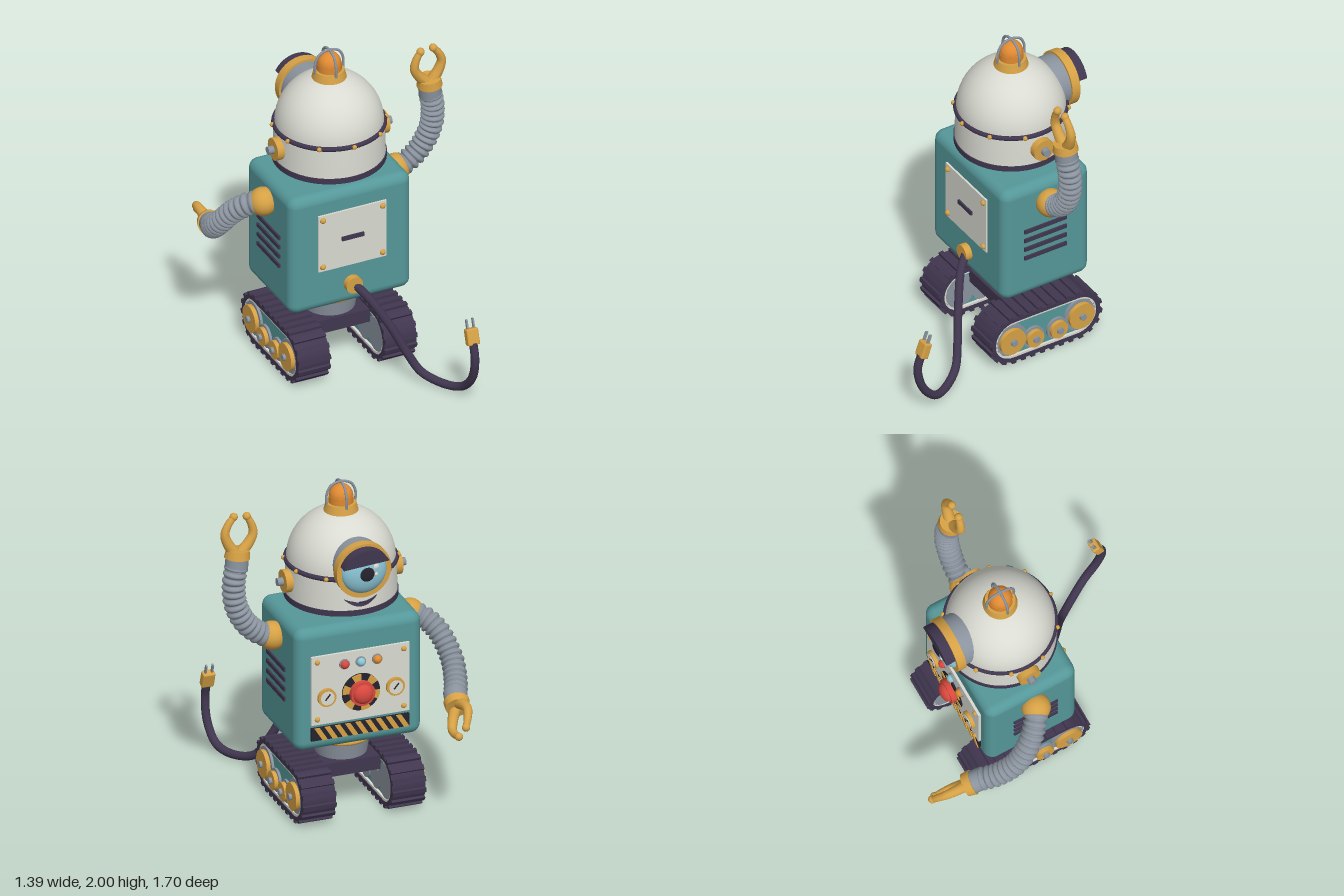
import * as THREE from 'three';
import { RoundedBoxGeometry } from 'three/addons/geometries/RoundedBoxGeometry.js';

const V = (x, y, z) => new THREE.Vector3(x, y, z);
const PI = Math.PI;

export function createModel() {
  const root = new THREE.Group();
  root.name = 'robot';
  const mat = (name, color) => {
    const m = new THREE.MeshStandardMaterial({ color });
    m.name = name;
    return m;
  };
  const teal = mat('teal paint', 0x559799), white = mat('off white', 0xd9dad1), gold = mat('brass', 0xd6a145);
  const purple = mat('dark purple', 0x40364f), grey = mat('steel grey', 0x8a939e), red = mat('red', 0xd9483e);
  const orange = mat('orange', 0xe08a32), blue = mat('light blue', 0x8cc6d6), black = mat('near black', 0x25222c);

  // The symmetric core sits off the origin because the arms and cable reach out unevenly.
  const core = new THREE.Group();
  core.name = 'core';
  core.position.set(-0.033, 0, -0.11);
  root.add(core);

  const add = (name, geo, material, x = 0, y = 0, z = 0, parent = core) => {
    const m = new THREE.Mesh(geo, material);
    m.name = name;
    m.position.set(x, y, z);
    parent.add(m);
    return m;
  };
  const box = (w, h, d) => new THREE.BoxGeometry(w, h, d);
  const ball = (r, n = 16) => new THREE.SphereGeometry(r, n * 2, n);
  const cyl = (r1, r2, h, axis = 'y', n = 40) => {
    const g = new THREE.CylinderGeometry(r1, r2, h, n);
    if (axis === 'x') g.rotateZ(-PI / 2);
    if (axis === 'z') g.rotateX(PI / 2);
    return g;
  };
  const hoop = (r, t) => new THREE.TorusGeometry(r, t, 10, 56).rotateX(PI / 2);
  const extrude = (shape, depth) => new THREE.ExtrudeGeometry(shape, { depth, bevelEnabled: false, curveSegments: 24 });
  // Tube whose radius follows a rule along its length
  const sweep = (curve, seg, radial, radius) => {
    const g = new THREE.TubeGeometry(curve, seg, 1, radial);
    const p = g.attributes.position, v = V(0, 0, 0);
    for (let i = 0; i < p.count; i++) {
      const t = Math.floor(i / (radial + 1)) / seg, c = curve.getPointAt(t);
      v.fromBufferAttribute(p, i).sub(c).multiplyScalar(radius(t)).add(c);
      p.setXYZ(i, v.x, v.y, v.z);
    }
    g.computeVertexNormals();
    return g;
  };

  // Body with side vents
  add('body', new RoundedBoxGeometry(0.777, 0.768, 0.588, 5, 0.06), teal, 0, 0.841, 0);
  for (const s of [-1, 1])
    for (let i = 0; i < 4; i++) add('vent', box(0.02, 0.025, 0.285), purple, s * 0.389, 0.92 - i * 0.062, 0.015);

  // Hatch panel on the +z side
  add('hatchPanel', box(0.433, 0.371, 0.016), white, 0, 0.909, 0.298);
  add('hatchSlot', box(0.14, 0.026, 0.016), purple, 0, 0.912, 0.308);
  for (const sx of [-1, 1])
    for (const sy of [-1, 1]) add('hatchRivet', ball(0.018, 8), gold, sx * 0.19, 0.909 + sy * 0.155, 0.306);

  // Control panel on the -z side
  add('controlPanel', box(0.6, 0.43, 0.02), white, 0, 0.845, -0.3);
  for (const sx of [-1, 1]) {
    for (const sy of [-1, 1]) add('panelRivet', ball(0.016, 8), gold, sx * 0.265, 0.845 + sy * 0.18, -0.31);
    add('gaugeRim', cyl(0.055, 0.055, 0.026, 'z'), gold, sx * 0.21, 0.8, -0.318);
    add('gaugeFace', cyl(0.042, 0.042, 0.006, 'z'), white, sx * 0.21, 0.8, -0.332);
    add('gaugeNeedle', box(0.008, 0.045, 0.004), black, sx * 0.21, 0.807, -0.336).rotation.z = 0.7;
  }
  [red, blue, orange].forEach((m, i) => {
    add('lampBezel', cyl(0.031, 0.031, 0.014, 'z', 24), grey, 0.1 - i * 0.1, 0.99, -0.313);
    add('lamp', ball(0.026, 10), m, 0.1 - i * 0.1, 0.99, -0.32);
  });
  add('buttonRing', cyl(0.115, 0.115, 0.012, 'z'), black, 0, 0.8, -0.315);
  for (let i = 0; i < 6; i++) {
    const a = i * PI / 3, s = new THREE.Shape();
    s.absarc(0, 0, 0.115, a, a + PI / 6, false);
    s.absarc(0, 0, 0.06, a + PI / 6, a, true);
    add('buttonRingStripe', extrude(s, 0.006), gold, 0, 0.8, -0.325);
  }
  add('buttonBase', cyl(0.074, 0.074, 0.035, 'z'), red, 0, 0.8, -0.337);
  add('buttonDome', ball(0.06), red, 0, 0.8, -0.352).scale.z = 0.65;

  // Hazard strip
  add('hazardStrip', box(0.6, 0.08, 0.018), black, 0, 0.57, -0.299);
  for (let i = 0; i < 9; i++) {
    const x = -0.3 + i * 0.0625, s = new THREE.Shape();
    s.moveTo(x, 0); s.lineTo(x + 0.033, 0); s.lineTo(x + 0.083, 0.08); s.lineTo(x + 0.05, 0.08);
    add('hazardStripe', extrude(s, 0.006), gold, 0, 0.53, -0.313);
  }

  // Waist and axle
  add('waist', cyl(0.175, 0.15, 0.17), grey, 0, 0.385, 0);
  add('waistRing', hoop(0.172, 0.015), gold, 0, 0.413, 0);
  add('axle', box(0.36, 0.085, 0.34), purple, 0, 0.26, 0);

  // Tracks
  const H = 0.215, R = 0.15;
  const stadium = (r, Type = THREE.Shape) => {
    const s = new Type();
    s.absarc(H, 0, r, -PI / 2, PI / 2, false);
    s.absarc(-H, 0, r, PI / 2, PI * 1.5, false);
    s.closePath();
    return s;
  };
  const loop = (outer, inner, w) => {
    const s = stadium(outer);
    if (inner) s.holes.push(stadium(inner, THREE.Path));
    return extrude(s, w).translate(0, 0, -w / 2).rotateY(PI / 2);
  };
  for (const s of [-1, 1]) {
    const track = new THREE.Group();
    track.name = s > 0 ? 'leftTrack' : 'rightTrack';
    track.position.set(s * 0.275, 0.165, 0);
    core.add(track);
    add('belt', loop(R, 0.126, 0.205), purple, 0, 0, 0, track);
    add('beltLining', loop(0.126, 0.112, 0.195), white, 0, 0, 0, track);
    add('sidePlate', loop(0.113, 0, 0.165), teal, 0, 0, 0, track);
    const total = 4 * H + 2 * PI * R, n = 28;
    for (let i = 0; i < n; i++) {
      let d = i * total / n;
      const side = d < total / 2 ? 1 : -1;
      d %= total / 2;
      const a = d < 2 * H ? 0 : (d - 2 * H) / R;
      const u = (d < 2 * H ? d - H : H + Math.sin(a) * (R + 0.005)) * side;
      const v = Math.cos(a) * (R + 0.005) * side;
      add('lug', box(0.205, 0.022, 0.028), purple, 0, v, u, track).rotation.x = a;
    }
    for (const [z, y, r] of [[-0.233, 0.002, 0.105], [-0.08, -0.035, 0.07], [0.08, -0.035, 0.07], [0.233, 0.002, 0.105]]) {
      add('wheel', cyl(r, r, 0.195, 'x'), grey, 0, y, z, track);
      add('wheelCap', cyl(r * 0.8, r * 0.8, 0.03, 'x'), gold, s * 0.107, y, z, track);
      add('wheelHub', cyl(0.02, 0.02, 0.03, 'x', 20), grey, s * 0.124, y, z, track);
    }
  }

  // Neck and head
  for (let i = 0; i < 3; i++) add('neckRing', hoop(0.17, 0.018), purple, 0, 1.235 + i * 0.026, 0);
  add('neck', cyl(0.165, 0.165, 0.1), purple, 0, 1.255, 0);
  const dome = [new THREE.Vector2(0.325, 1.3), new THREE.Vector2(0.319, 1.5)];
  for (let i = 0; i <= 20; i++) {
    const a = i / 20 * PI / 2;
    dome.push(new THREE.Vector2(0.315 * Math.cos(a) + 1e-5, 1.517 + 0.315 * Math.sin(a)));
  }
  add('head', new THREE.LatheGeometry(dome, 64), white);
  add('headRim', cyl(0.33, 0.33, 0.034, 'y', 64), purple, 0, 1.307, 0);
  add('headBand', hoop(0.317, 0.015), purple, 0, 1.517, 0);
  for (let i = 0; i < 10; i++) {
    const a = i * PI / 5;
    add('bandRivet', ball(0.014, 8), gold, 0.33 * Math.sin(a), 1.519, 0.33 * Math.cos(a));
  }
  for (const s of [-1, 1]) {
    add('ear', cyl(0.068, 0.068, 0.08, 'x'), gold, s * 0.318, 1.42, 0);
    add('earKnob', cyl(0.024, 0.024, 0.05, 'x', 20), grey, s * 0.368, 1.42, 0);
  }

  // Beacon with wire cage
  add('beaconBase', cyl(0.088, 0.102, 0.055), gold, 0, 1.838, 0);
  add('beaconStem', cyl(0.072, 0.072, 0.045), orange, 0, 1.885, 0);
  add('beaconBulb', ball(0.07), orange, 0, 1.906, 0);
  const arch = new THREE.CatmullRomCurve3([V(-0.088, 1.85, 0), V(-0.088, 1.92, 0), V(-0.062, 1.972, 0),
    V(0, 1.992, 0), V(0.062, 1.972, 0), V(0.088, 1.92, 0), V(0.088, 1.85, 0)]);
  for (const a of [0, PI / 2]) add('cageWire', new THREE.TubeGeometry(arch, 32, 0.008, 8), grey).rotation.y = a;

  // Eye with heavy lid
  add('eyeHousing', cyl(0.153, 0.153, 0.2, 'z', 48), grey, 0, 1.585, -0.215);
  add('eyeRim', cyl(0.167, 0.167, 0.053, 'z', 48), gold, 0, 1.585, -0.339);
  add('eyeball', ball(0.138, 20), blue, 0, 1.585, -0.358).scale.z = 0.47;
  add('pupil', ball(0.045), black, 0, 1.585, -0.417).scale.z = 0.22;
  add('eyeGlint', ball(0.02, 10), white, -0.055, 1.622, -0.41).scale.z = 0.5;
  add('eyeGlintSmall', ball(0.012, 8), white, -0.055, 1.578, -0.417).scale.z = 0.5;
  const lid = new THREE.Shape();
  lid.absarc(0, 0, 0.152, 0.4, PI - 0.4, false);
  add('eyelid', extrude(lid, 0.062), purple, 0, 1.585, -0.425).rotation.z = -0.08;

  // Smile wrapped on the head
  const smile = new THREE.Shape();
  smile.moveTo(-0.1, 0);
  smile.quadraticCurveTo(0, -0.1, 0.1, 0);
  smile.quadraticCurveTo(0, -0.045, -0.1, 0);
  const smileGeo = extrude(smile, 0.009), sp = smileGeo.attributes.position;
  for (let i = 0; i < sp.count; i++) {
    const a = sp.getX(i) / 0.32, r = 0.32 + sp.getZ(i);
    sp.setXYZ(i, -Math.sin(a) * r, sp.getY(i), -Math.cos(a) * r);
  }
  smileGeo.computeVertexNormals();
  add('mouth', smileGeo, purple, 0, 1.395, 0);

  // Arms: ball shoulder, bellows, cuff and a two-finger claw
  const arm = (name, pts, dir, spread) => {
    const g = new THREE.Group();
    g.name = name;
    root.add(g);
    add('shoulder', ball(0.085), gold, pts[0].x, pts[0].y, pts[0].z, g);
    const curve = new THREE.CatmullRomCurve3(pts), ridges = Math.round(curve.getLength() / 0.038);
    add('bellows', sweep(curve, ridges * 8, 20, t => 0.054 + 0.016 * Math.abs(Math.sin(t * ridges * PI))), grey, 0, 0, 0, g);
    const hand = new THREE.Group();
    hand.name = 'hand';
    const y = dir.normalize(), x = spread.addScaledVector(y, -spread.dot(y)).normalize();
    hand.quaternion.setFromRotationMatrix(new THREE.Matrix4().makeBasis(x, y, x.clone().cross(y)));
    hand.position.copy(pts[pts.length - 1]);
    g.add(hand);
    add('cuff', cyl(0.067, 0.067, 0.09, 'y', 32), grey, 0, 0.015, 0, hand);
    add('wrist', cyl(0.068, 0.075, 0.05, 'y', 32), gold, 0, 0.07, 0, hand);
    for (const s of [-1, 1]) {
      const f = new THREE.CatmullRomCurve3([V(s * 0.025, 0.08, 0), V(s * 0.065, 0.135, 0), V(s * 0.086, 0.19, 0),
        V(s * 0.072, 0.245, 0), V(s * 0.04, 0.295, 0)]);
      add('finger', sweep(f, 24, 14, t => 0.035 - 0.016 * t), gold, 0, 0, 0, hand);
      add('fingertip', ball(0.024, 10), gold, s * 0.04, 0.295, 0, hand);
    }
  };
  arm('leftArm', [V(0.39, 1.09, -0.11), V(0.46, 1.115, -0.11), V(0.55, 1.195, -0.108), V(0.61, 1.32, -0.102),
    V(0.618, 1.45, -0.095), V(0.598, 1.56, -0.087)], V(-0.1, 1, 0.06), V(1, 0, 0));
  arm('rightArm', [V(-0.455, 1.09, -0.11), V(-0.52, 1.07, -0.15), V(-0.587, 1.0, -0.22), V(-0.627, 0.87, -0.33),
    V(-0.605, 0.775, -0.45), V(-0.568, 0.73, -0.54)], V(0.06, -0.095, -0.265), V(-0.45, 0.9, 0));

  // Power cable and plug
  add('cableGrommet', cyl(0.052, 0.052, 0.05, 'z', 32), gold, -0.033, 0.595, 0.2, root);
  const cable = new THREE.CatmullRomCurve3([V(-0.033, 0.6, 0.19), V(0.025, 0.53, 0.265), V(0.13, 0.35, 0.35), V(0.21, 0.18, 0.405),
    V(0.275, 0.065, 0.46), V(0.36, 0.028, 0.58), V(0.42, 0.055, 0.69), V(0.44, 0.16, 0.785), V(0.44, 0.3, 0.82), V(0.44, 0.4, 0.795)]);
  add('cable', new THREE.TubeGeometry(cable, 100, 0.025, 14), purple, 0, 0, 0, root);
  const plug = new THREE.Group();
  plug.name = 'plug';
  plug.position.set(0.44, 0.432, 0.78);
  plug.rotation.x = -0.33;
  root.add(plug);
  add('plugBody', new RoundedBoxGeometry(0.075, 0.1, 0.05, 2, 0.01), gold, 0, 0, 0, plug);
  for (const s of [-1, 1]) add('prong', box(0.01, 0.06, 0.018), grey, s * 0.02, 0.075, 0, plug);

  return root;
}
